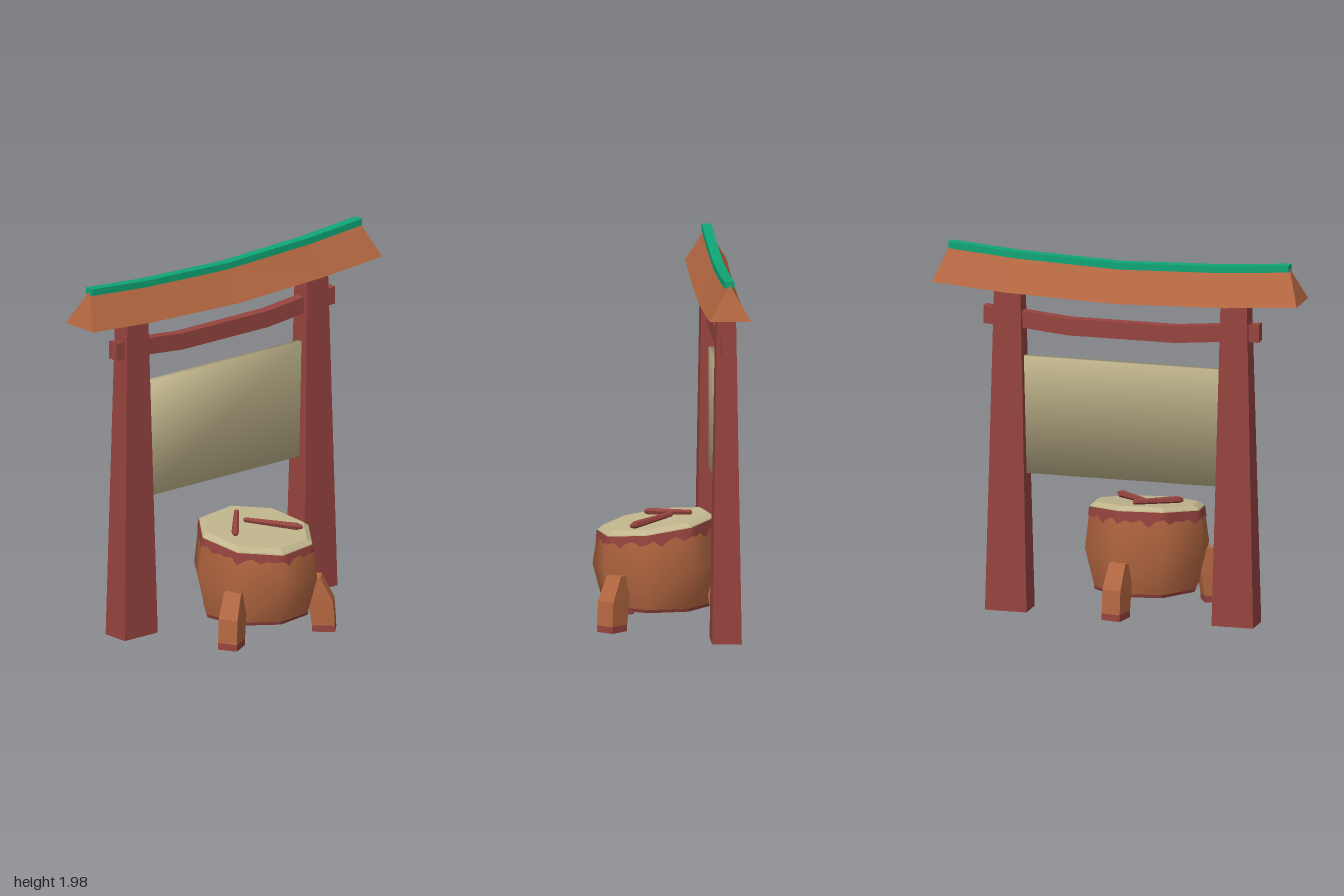
import * as THREE from 'three';
import { mergeVertices } from 'three/addons/utils/BufferGeometryUtils.js';

const paint = (name, color) => {
  const m = new THREE.MeshStandardMaterial({ color });
  m.name = name;
  return m;
};

// Skin a list of closed loops; each loop runs counter-clockwise seen from the last one.
function loft(loops, { start = true, end = true, sides = null } = {}) {
  const out = [];
  const tri = (a, b, c) => out.push(...a, ...b, ...c);
  const n = loops[0].length;
  for (let i = 0; i < loops.length - 1; i++) {
    for (let j = 0; j < n; j++) {
      if (sides && !sides.includes(j)) continue;
      const k = (j + 1) % n, lo = loops[i], hi = loops[i + 1];
      tri(lo[j], lo[k], hi[k]);
      tri(lo[j], hi[k], hi[j]);
    }
  }
  const first = loops[0], last = loops[loops.length - 1];
  for (let j = 1; j < n - 1; j++) {
    if (start) tri(first[0], first[j + 1], first[j]);
    if (end) tri(last[0], last[j], last[j + 1]);
  }
  const g = new THREE.BufferGeometry();
  g.setAttribute('position', new THREE.Float32BufferAttribute(out, 3));
  g.computeVertexNormals();
  return g;
}

function smooth(geometry) {
  geometry.deleteAttribute('normal');
  const g = mergeVertices(geometry);
  g.computeVertexNormals();
  return g;
}

// Horizontal rectangle loop at height y
const rectY = (x0, x1, z0, z1, y) => [[x0, y, z1], [x1, y, z1], [x1, y, z0], [x0, y, z0]];
// Upright rectangle loop at position x
const rectX = (x, y0, y1, z0, z1) => [[x, y0, z1], [x, y0, z0], [x, y1, z0], [x, y1, z1]];

export function createModel() {
  const wood = paint('wood', 0xb46741);
  const red = paint('red paint', 0x96443f);
  const hide = paint('cream hide', 0xc0b58c);
  const green = paint('green ridge', 0x10a676);

  const model = new THREE.Group();
  const add = (parent, name, geometry, material) => {
    const mesh = new THREE.Mesh(geometry, material);
    mesh.name = name;
    parent.add(mesh);
    return mesh;
  };
  const group = (name) => {
    const g = new THREE.Group();
    g.name = name;
    model.add(g);
    return g;
  };

  // ---- Gate ----
  const gate = group('gate');
  const gz = -0.283;

  // Tapered posts
  for (const [name, x] of [['rightPost', -0.638], ['leftPost', 0.604]]) {
    add(gate, name, loft([
      rectY(x - 0.114, x + 0.114, gz - 0.078, gz + 0.078, 0.01),
      rectY(x - 0.072, x + 0.072, gz - 0.05, gz + 0.05, 1.77),
    ]), red);
  }

  // Sagging roof with a triangular section and sloped ends
  const stations = [[-1, 0.05], [-0.6, 0.02], [0, 0], [0.6, 0.02], [1, 0.05]];
  const roof = stations.map(([x, lift]) => [
    [x, 1.73 + lift, gz + 0.11],
    [x, 1.73 + lift, gz - 0.11],
    [x * (Math.abs(x) === 1 ? 0.93 : 0.96), 1.915 + lift, gz],
  ]);
  add(gate, 'roof', loft(roof, { sides: [1, 2] }), wood);
  add(gate, 'roofUnderside', loft(roof, { start: false, end: false, sides: [0] }), red);
  add(gate, 'roofRidge', loft(stations.map(([x, lift]) =>
    rectX(x * 0.932, 1.897 + lift, 1.933 + lift, gz - 0.026, gz + 0.026))), green);

  // Bent crossbeam and its projecting ends
  const beam = [[-0.72, 0.04], [-0.56, 0.024], [-0.31, 0], [0.28, 0], [0.53, 0.024], [0.69, 0.04]];
  add(gate, 'crossbeam', loft(beam.map(([x, lift]) =>
    rectX(x, 1.52 + lift, 1.61 + lift, gz - 0.028, gz + 0.028))), red);
  for (const [name, x0, x1, tip] of [['rightBeamEnd', -0.77, -0.69, -1], ['leftBeamEnd', 0.66, 0.74, 1]]) {
    const outer = [1.555, 1.65], inner = [1.55, 1.64];
    const [a, b] = tip < 0 ? [outer, inner] : [inner, outer];
    add(gate, name, loft([rectX(x0, ...a, gz - 0.031, gz + 0.031), rectX(x1, ...b, gz - 0.031, gz + 0.031)]), red);
  }

  // Hanging cloth with softened normals
  const cloth = new THREE.BoxGeometry(1.08, 0.635, 0.03);
  const p = cloth.attributes.position, normals = cloth.attributes.normal;
  for (let i = 0; i < p.count; i++) {
    const n = new THREE.Vector3(Math.sign(p.getX(i)), Math.sign(p.getY(i)), Math.sign(p.getZ(i))).normalize();
    normals.setXYZ(i, n.x, n.y, n.z);
  }
  add(gate, 'banner', cloth, hide).position.set(-0.015, 1.07, gz);

  // ---- Drum ----
  const drum = group('drum');
  drum.position.set(-0.055, 0, 0.04);
  const ring = (r, y, tilt = 0) => Array.from({ length: 8 }, (_, k) => {
    const a = THREE.MathUtils.degToRad(13 - 45 * k);
    const x = r * Math.cos(a), z = r * Math.sin(a);
    return [x, y - tilt * (0.14 * z + 0.012 * x), z];
  });
  const bottom = ring(0.288, 0.115), middle = ring(0.34, 0.32, 0.25), top = ring(0.314, 0.53, 1);
  add(drum, 'drumBody', smooth(loft([bottom, middle, top], { start: false, end: false })), wood);
  add(drum, 'drumBase', loft([ring(0.28, 0.096), ring(0.281, 0.1)], { end: false }), hide);
  add(drum, 'bottomBand', loft([ring(0.285, 0.098), ring(0.292, 0.116)]), red);
  add(drum, 'drumSkin', loft([top, ring(0.312, 0.535, 1), ring(0.282, 0.555, 1)], { start: false }), hide);

  // Painted band with an uneven dripping lower edge
  const drips = [0.76, 0.82, 0.66, 0.8, 0.84, 0.72, 0.8];
  const steps = 6;
  const bandLoop = (height) => Array.from({ length: 8 * steps }, (_, i) => {
    const k = Math.floor(i / steps), t = (i % steps) / steps, h = height(i);
    const at = (loop, axis) => THREE.MathUtils.lerp(loop[k][axis], loop[(k + 1) % 8][axis], t);
    const [x, y, z] = [0, 1, 2].map((axis) => THREE.MathUtils.lerp(at(middle, axis), at(top, axis), h));
    return [x * 1.012, y, z * 1.012];
  });
  add(drum, 'drippingBand', smooth(loft([bandLoop((i) => drips[i % drips.length]), bandLoop(() => 1)],
    { start: false, end: false })), red);

  // Three bent legs with painted feet
  const w = 0.053;
  for (const [name, degrees] of [['rightFrontLeg', 151], ['leftFrontLeg', 44], ['backLeg', -79]]) {
    const leg = new THREE.Group();
    leg.name = name;
    leg.rotation.y = -THREE.MathUtils.degToRad(degrees);
    drum.add(leg);
    add(leg, 'foot', loft([rectY(0.3, 0.422, -w, w, 0), rectY(0.3, 0.421, -w, w, 0.035)]), red);
    add(leg, 'legWood', loft([
      rectY(0.3, 0.421, -w, w, 0.035),
      rectY(0.28, 0.412, -w, w, 0.165),
      rectY(0.28, 0.345, -w * 0.9, w * 0.9, 0.295),
    ]), wood);
  }

  // Two six-sided drumsticks lying on the skin
  const stick = (name, from, to) => {
    const a = new THREE.Vector3(...from), b = new THREE.Vector3(...to);
    const length = a.distanceTo(b);
    const profile = [[0, 0], [0.014, 0.008], [0.021, length - 0.035], [0.011, length - 0.006], [0, length]];
    const g = new THREE.LatheGeometry(profile.map(([x, y]) => new THREE.Vector2(x, y)), 6).toNonIndexed();
    g.computeVertexNormals();
    const mesh = add(model, name, g, red);
    mesh.position.copy(a);
    mesh.quaternion.setFromUnitVectors(new THREE.Vector3(0, 1, 0), b.sub(a).normalize());
  };
  stick('rightDrumstick', [-0.03, 0.594, -0.145], [-0.24, 0.565, 0.09]);
  stick('leftDrumstick', [-0.07, 0.58, -0.045], [0.145, 0.55, 0.19]);

  return model;
}
